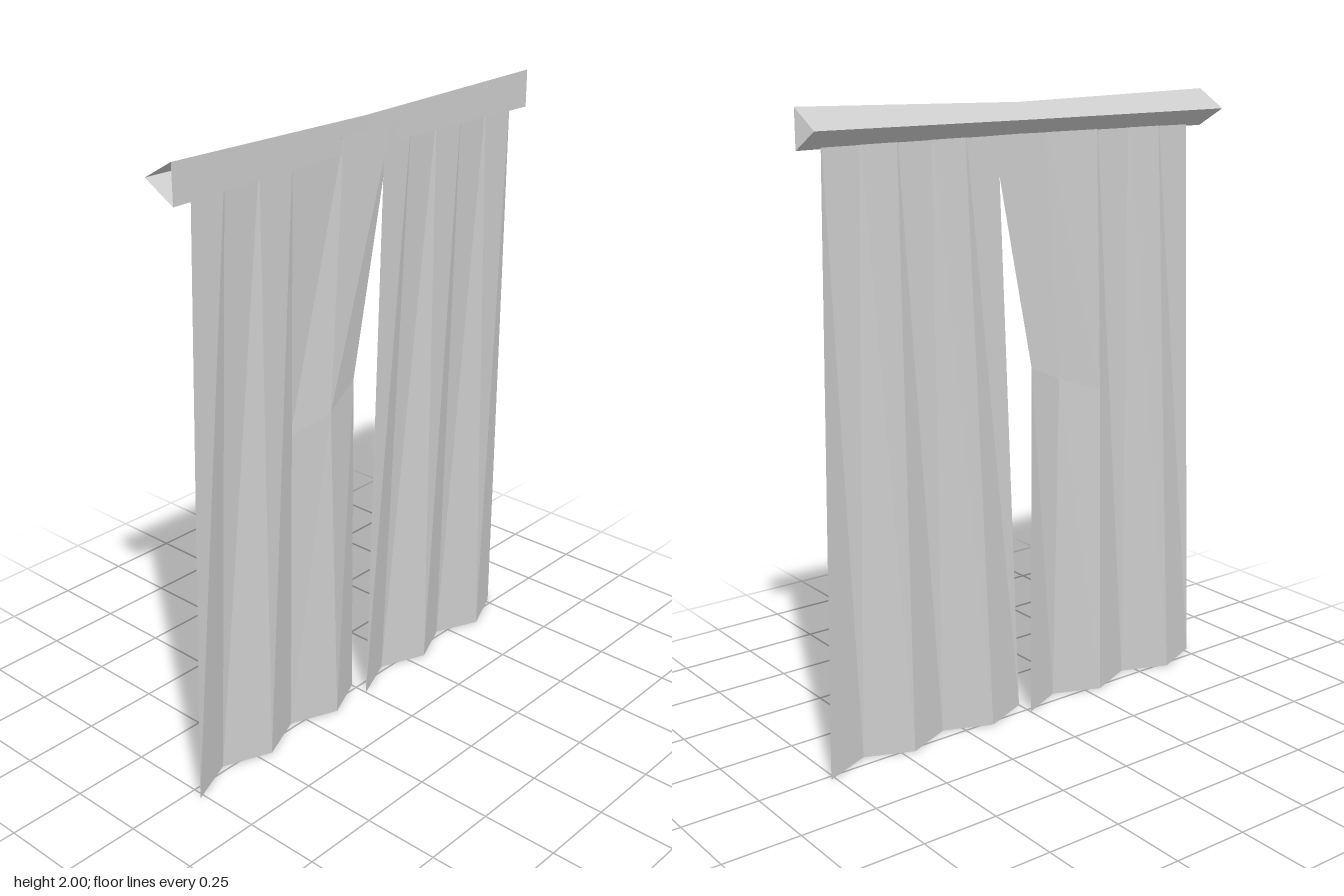
import * as THREE from 'three';

const material = new THREE.MeshStandardMaterial({
  color: 0xcccccc, flatShading: true, side: THREE.DoubleSide,
});

// Joins a list of equally long cross-sections into a faceted sheet
function loft(name, rows) {
  const n = rows[0].length;
  const index = [];
  for (let r = 0; r < rows.length - 1; r++) {
    for (let i = 0; i < n - 1; i++) {
      const a = r * n + i, b = a + 1, c = a + n, d = c + 1;
      index.push(a, c, b, b, c, d);
    }
  }
  const geometry = new THREE.BufferGeometry();
  geometry.setAttribute('position', new THREE.Float32BufferAttribute(rows.flat(2), 3));
  geometry.setIndex(index);
  geometry.computeVertexNormals();
  const mesh = new THREE.Mesh(geometry, material);
  mesh.name = name;
  return mesh;
}

const TOP = 1.94, TOP_X = 0.042, HIGH_X = 0.045, LOW_X = -0.02;

// Flat gathered top edge and zigzag hem, both running towards -z
const topRow = (zs) => zs.map((z) => [TOP_X, TOP, z]);
const hemRow = (zs) => zs.map((z, i) => [i % 2 ? LOW_X : HIGH_X, 0, z]);

// Point on the straight pleat line between top and hem at height y
function along(top, hem, y) {
  const t = (TOP - y) / TOP;
  return [top[0] + (hem[0] - top[0]) * t, y, top[2] + (hem[2] - top[2]) * t];
}

export function createModel() {
  const group = new THREE.Group();
  group.name = 'curtain';

  // Hollow triangular rail, open at both ends and pinched in the middle
  const section = (z, back, front, low, high) => [
    [front, low, z], [front, high, z], [back, (low + high) / 2, z], [front, low, z],
  ];
  group.add(loft('rail', [
    section(0.765, -0.053, 0.052, 1.88, 2),
    section(0, -0.041, 0.04, 1.89, 1.985),
    section(-0.765, -0.053, 0.052, 1.88, 2),
  ]));

  // Plain pleated panel
  group.add(loft('rearPanel', [
    topRow([-0.08, -0.2, -0.32, -0.44, -0.565, -0.69]),
    hemRow([0, -0.155, -0.31, -0.46, -0.61, -0.765]),
  ]));

  // Panel whose inner pleats are bent at mid height
  const top = topRow([0.692, 0.57, 0.44, 0.31, 0.1, -0.108]);
  const hem = hemRow([0.768, 0.61, 0.455, 0.3, 0.145, 0]);
  const middle = top.map((p, i) => along(p, hem[i], 1.06));
  middle[3] = [0.005, 1.05, 0.305];
  middle[4] = [0.044, 1.1, 0.165];
  middle[5] = [0.016, 1.16, 0.03];
  // The outer pleats stay straight, the inner ones take the bend
  group.add(loft('frontPanelOuterPleats', [top.slice(0, 4), hem.slice(0, 4)]));
  group.add(loft('frontPanelInnerPleats', [top.slice(3), middle.slice(3), hem.slice(3)]));

  return group;
}
